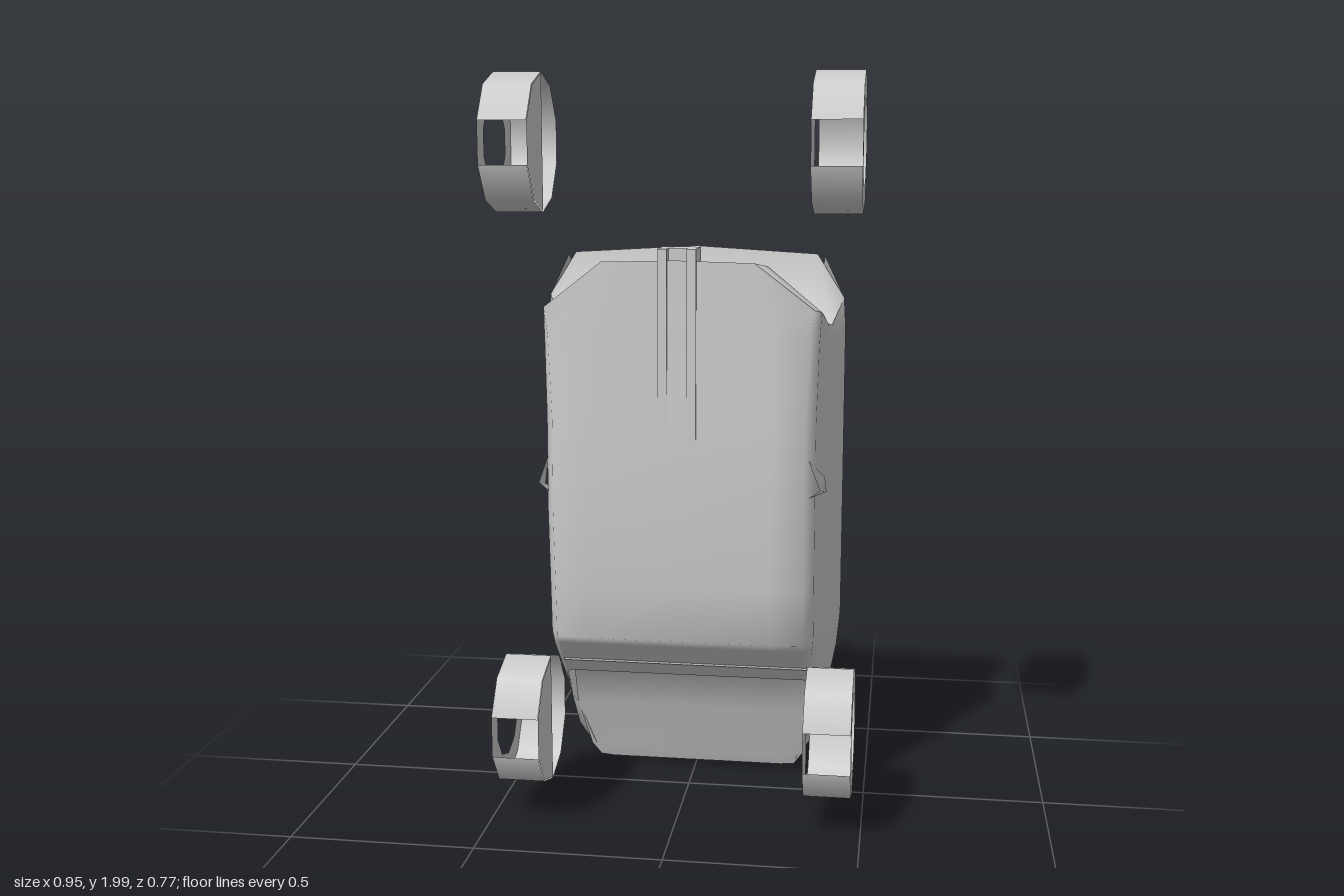
import * as THREE from 'three';

const paint = new THREE.MeshStandardMaterial({ color: 0xcccccc, side: THREE.DoubleSide });
paint.name = 'light grey';

function add(parent, name, geo, x = 0, y = 0, z = 0) {
  const m = new THREE.Mesh(geo, paint);
  m.name = name;
  m.position.set(x, y, z);
  parent.add(m);
  return m;
}

// Smooth skin through rows of [x, y, z] points
function skin(rows) {
  const n = rows[0].length, idx = [];
  for (let r = 0; r < rows.length - 1; r++)
    for (let c = 0; c < n - 1; c++) {
      const a = r * n + c, b = a + n;
      idx.push(a, b, a + 1, a + 1, b, b + 1);
    }
  const g = new THREE.BufferGeometry();
  g.setAttribute('position', new THREE.Float32BufferAttribute(rows.flat(2), 3));
  g.setIndex(idx);
  g.computeVertexNormals();
  return g;
}

// Half rows start at the centre line (x = 0) and are mirrored to -x
const mirrored = rows => skin(rows.map(r =>
  [...r.slice(1).reverse().map(([x, y, z]) => [-x, y, z]), ...r]));

// The same strip on both sides
function sides(parent, name, rows) {
  for (const s of [1, -1])
    add(parent, name, skin(rows.map(r => r.map(([x, y, z]) => [s * x, y, z]))));
}

function extrudeUp(points, height) {
  const s = new THREE.Shape(points.map(([x, z]) => new THREE.Vector2(x, -z)));
  return new THREE.ExtrudeGeometry(s, { depth: height, bevelEnabled: false }).rotateX(-Math.PI / 2);
}

function makeWheel(side) {
  const g = new THREE.Group(), R = 0.177, w = 0.0625, h = 0.11, gap = Math.PI / 10;
  g.name = 'wheel';
  // Tread with one open facet on +z
  add(g, 'tread', new THREE.CylinderGeometry(R, R, 2 * w, 9, 1, true, gap, Math.PI * 1.8).rotateZ(Math.PI / 2));
  // Outer sidewall ring
  add(g, 'sidewall', new THREE.RingGeometry(h, R, 10, 1, gap).rotateY(Math.PI / 2 * side), side * w);
  // Inner half disc on the +z half
  const disc = new THREE.CircleGeometry(R * 0.98, 5, -Math.PI / 2, Math.PI);
  add(g, 'innerHalfDisc', disc.rotateY(-Math.PI / 2), -side * w);
  return g;
}

function makeBody() {
  const g = new THREE.Group();
  g.name = 'body';

  // Floor and lower sides, swept from front to rear
  const station = (y, z, belt, bx = 0.42) => [
    [0, y, z], [0.25, y, z], [0.335, y, z - 0.01], [0.36, y, z - 0.06],
    [0.375, y, 0.02], [0.39, y, -0.08], [bx, y, belt]];
  add(g, 'floorAndSides', mirrored([
    [[0, 1.525, 0.22], [0.2, 1.52, 0.22], [0.355, 1.4, 0.21], [0.37, 1.39, 0.15],
      [0.378, 1.345, 0.0], [0.385, 1.33, -0.09], [0.415, 1.4, -0.14]],
    [[0, 1.36, 0.222], [0.25, 1.36, 0.222], [0.345, 1.32, 0.21], [0.365, 1.3, 0.16],
      [0.378, 1.3, 0.02], [0.392, 1.3, -0.08], [0.42, 1.32, -0.14]],
    station(1.1, 0.228, -0.14),
    station(0.85, 0.235, -0.14),
    station(0.65, 0.22, -0.137),
    station(0.5, 0.21, -0.133),
    [[0, 0.47, 0.165], [0.25, 0.47, 0.165], [0.335, 0.47, 0.165], [0.355, 0.46, 0.14],
      [0.37, 0.4, 0.02], [0.385, 0.35, -0.08], [0.41, 0.4, -0.145]],
    [[0, 0.345, 0.03], [0.25, 0.345, 0.03], [0.335, 0.345, 0.03], [0.35, 0.33, 0.01],
      [0.355, 0.27, -0.05], [0.36, 0.22, -0.1], [0.385, 0.27, -0.16]],
  ]));

  // Firewall and cowl
  add(g, 'firewall', mirrored([
    [[0, 1.525, 0.22], [0.2, 1.52, 0.22], [0.355, 1.4, 0.21]],
    [[0, 1.51, 0.14], [0.21, 1.51, 0.14], [0.37, 1.39, 0.15]],
    [[0, 1.5, 0.06], [0.22, 1.5, 0.06], [0.372, 1.37, 0.06]],
    [[0, 1.34, -0.02], [0.26, 1.34, -0.02], [0.38, 1.335, -0.02]],
    [[0, 1.33, -0.11], [0.3, 1.33, -0.11], [0.385, 1.33, -0.1]],
    [[0, 1.54, -0.14], [0.34, 1.52, -0.14], [0.415, 1.4, -0.14]],
  ]));

  // Roof with a turned-down front header
  const roofRow = (y, z, x) => [[0, y, z], [x * 0.7, y, z + 0.004], [x * 0.94, y, z + 0.016], [x, y, z + 0.035]];
  add(g, 'roof', mirrored([
    roofRow(1.2, -0.335, 0.3), roofRow(1.235, -0.368, 0.31), roofRow(1.1, -0.378, 0.32),
    roofRow(0.85, -0.386, 0.33), roofRow(0.6, -0.372, 0.33), roofRow(0.45, -0.352, 0.325),
    roofRow(0.34, -0.335, 0.315),
  ]));

  // Tail panel below the open rear window
  add(g, 'tailPanel', mirrored([
    [[0, 0.345, 0.03], [0.25, 0.345, 0.03], [0.335, 0.345, 0.03]],
    [[0, 0.335, -0.06], [0.25, 0.335, -0.06], [0.345, 0.33, -0.06]],
    [[0, 0.2, -0.11], [0.25, 0.2, -0.11], [0.345, 0.2, -0.11]],
    [[0, 0.04, -0.165], [0.25, 0.04, -0.165], [0.315, 0.05, -0.165]],
    [[0, 0.008, -0.178], [0.25, 0.008, -0.178], [0.29, 0.012, -0.178]],
  ]));

  // Pillars, each a thin folded strip
  sides(g, 'frontPillar', [
    [[0.36, 1.515, -0.14], [0.415, 1.4, -0.14]],
    [[0.345, 1.42, -0.215], [0.385, 1.375, -0.205]],
    [[0.3, 1.235, -0.355], [0.325, 1.2, -0.335]],
  ]);
  sides(g, 'middlePillar', [
    [[0.415, 0.915, -0.14], [0.418, 0.84, -0.14]],
    [[0.38, 0.89, -0.22], [0.38, 0.845, -0.22]],
    [[0.33, 0.885, -0.352], [0.33, 0.84, -0.352]],
  ]);
  sides(g, 'rearPillar', [
    [[0.41, 0.4, -0.145], [0.385, 0.27, -0.16], [0.36, 0.22, -0.1], [0.345, 0.2, -0.11]],
    [[0.4, 0.36, -0.17], [0.383, 0.26, -0.175], [0.35, 0.12, -0.15], [0.29, 0.012, -0.178]],
    [[0.36, 0.42, -0.26], [0.355, 0.36, -0.26], [0.345, 0.25, -0.26], [0.305, 0.18, -0.26]],
    [[0.328, 0.52, -0.325], [0.325, 0.45, -0.318], [0.32, 0.4, -0.32], [0.315, 0.34, -0.33]],
  ]);
  // Roof side rail
  sides(g, 'roofRail', [
    [[0.31, 1.235, -0.333], [0.33, 0.85, -0.351], [0.328, 0.5, -0.325]],
    [[0.325, 1.2, -0.325], [0.34, 0.85, -0.34], [0.338, 0.5, -0.31]],
  ]);
  // Window sill ledge
  sides(g, 'windowSill', [
    [[0.415, 1.4, -0.14], [0.42, 0.9, -0.14], [0.41, 0.4, -0.145]],
    [[0.385, 1.38, -0.138], [0.39, 0.9, -0.138], [0.385, 0.4, -0.143]],
  ]);
  // Wedge notch in each sill
  sides(g, 'sillNotch', [
    [[0.345, 1.01, 0.222], [0.381, 0.94, 0.09]],
    [[0.375, 0.93, 0.215], [0.386, 0.9, 0.09]],
    [[0.345, 0.91, 0.225], [0.381, 0.9, 0.09]],
  ]);

  // Centre channel under the floor
  add(g, 'centreChannel', extrudeUp([[-0.05, 0.14], [0.05, 0.14], [0.05, 0.236], [0.026, 0.236],
    [0.026, 0.2], [-0.026, 0.2], [-0.026, 0.236], [-0.05, 0.236]], 0.63), 0, 0.925, -0.006);
  return g;
}

function makeInterior() {
  const g = new THREE.Group();
  g.name = 'interior';
  const back = [[-0.13, 0.1], [-0.14, -0.16], [-0.115, -0.19], [-0.045, -0.285],
    [0.045, -0.285], [0.115, -0.19], [0.14, -0.16], [0.13, 0.1]];
  for (const s of [1, -1]) {
    // Front seats
    const seatBack = add(g, 'frontSeatBack', extrudeUp(back, 0.045), s * 0.22, 0.87, 0);
    seatBack.rotation.x = 0.12;
    add(g, 'frontSeatCushion', new THREE.BoxGeometry(0.26, 0.3, 0.1), s * 0.22, 1.05, 0.08);
    // Rear headrests
    add(g, 'rearHeadrest', new THREE.BoxGeometry(0.08, 0.05, 0.09), s * 0.14, 0.4, -0.205);
  }
  add(g, 'rearSeatBack', new THREE.BoxGeometry(0.68, 0.05, 0.28), 0, 0.42, -0.05);
  add(g, 'rearSeatCushion', new THREE.BoxGeometry(0.66, 0.2, 0.1), 0, 0.56, 0.08);
  add(g, 'dashboard', new THREE.BoxGeometry(0.72, 0.1, 0.14), 0, 1.29, -0.05);
  // Steering wheel and column
  const wheel = add(g, 'steeringWheel', new THREE.TorusGeometry(0.065, 0.007, 6, 16), -0.22, 1.25, -0.11);
  wheel.rotation.x = Math.PI / 2 - 0.35;
  add(g, 'steeringColumn', new THREE.CylinderGeometry(0.012, 0.012, 0.1, 8), -0.22, 1.29, -0.1);
  return g;
}

export function createModel() {
  const model = new THREE.Group();
  model.name = 'carShell';
  model.add(makeBody(), makeInterior());
  for (const s of [1, -1])
    for (const y of [0.272, 1.823]) {
      const w = makeWheel(s);
      w.position.set(s * 0.4115, y, 0.22);
      model.add(w);
    }
  return model;
}
